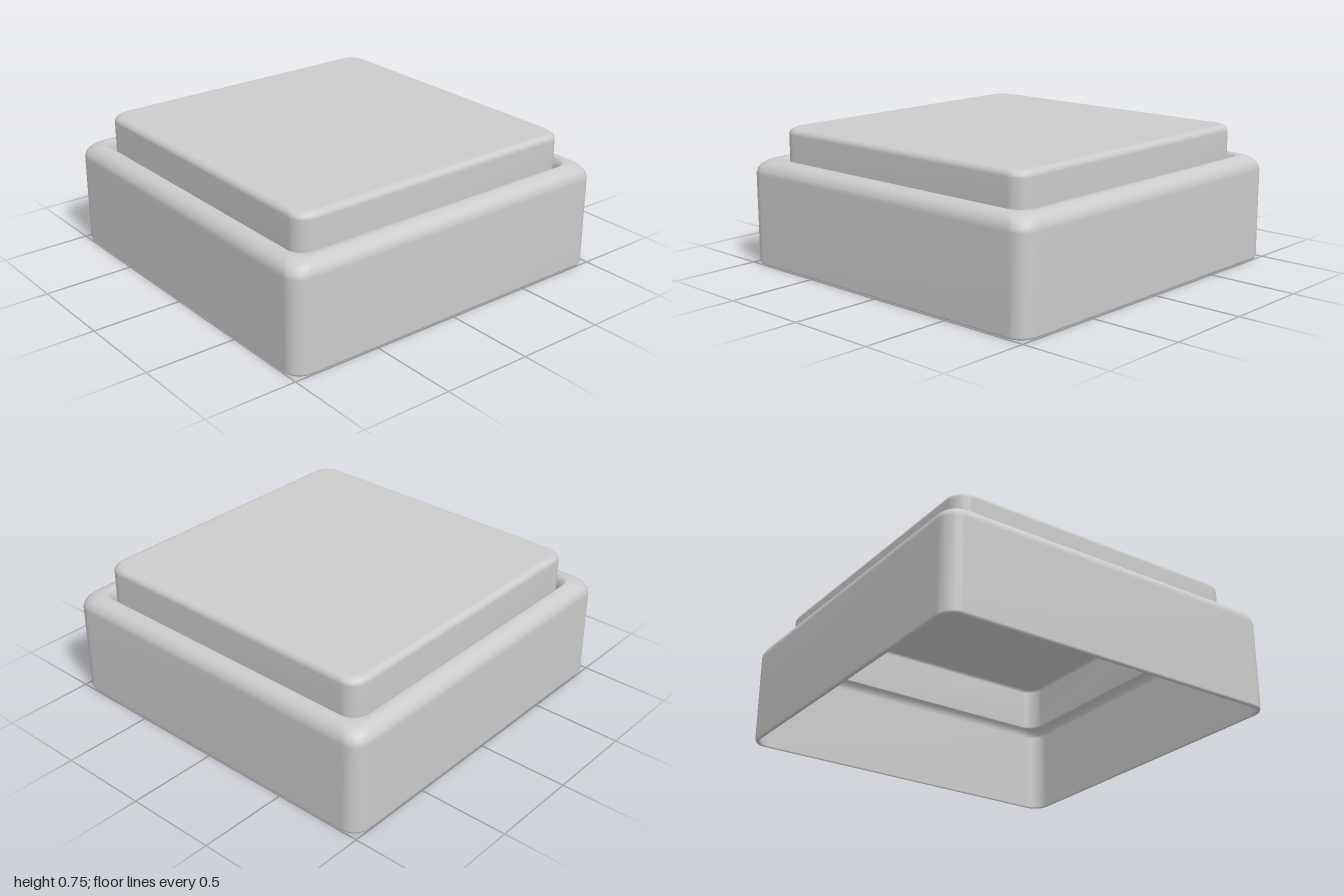
import * as THREE from 'three';

const CORNER = 0.09; // plan radius of every rounded square
const STEPS = 6; // segments per corner

// Sweeps a profile of [half width, height] points around a rounded square.
function sweepSquare(name, profile, closed) {
  const positions = [];
  const index = [];
  const ring = 4 * (STEPS + 1);
  for (const [half, y] of profile) {
    const r = Math.min(CORNER, half);
    for (let corner = 0; corner < 4; corner++) {
      const mid = (corner + 0.5) * Math.PI / 2;
      const cx = Math.sign(Math.cos(mid)) * (half - r);
      const cz = Math.sign(Math.sin(mid)) * (half - r);
      for (let s = 0; s <= STEPS; s++) {
        const a = (corner + s / STEPS) * Math.PI / 2;
        positions.push(cx + r * Math.cos(a), y, cz + r * Math.sin(a));
      }
    }
  }
  const n = profile.length;
  for (let i = 0; i < (closed ? n : n - 1); i++) {
    const next = (i + 1) % n;
    for (let j = 0; j < ring; j++) {
      const k = (j + 1) % ring;
      const a = i * ring + j, b = next * ring + j;
      const c = next * ring + k, d = i * ring + k;
      index.push(a, b, d, b, c, d);
    }
  }
  const geometry = new THREE.BufferGeometry();
  geometry.setAttribute('position', new THREE.Float32BufferAttribute(positions, 3));
  geometry.setIndex(index);
  geometry.computeVertexNormals();
  const mesh = new THREE.Mesh(geometry, new THREE.MeshStandardMaterial({ color: 0xcccccc }));
  mesh.name = name;
  return mesh;
}

// Quarter-round profile points about (cx, cy), turning from outward to upward.
function quarterRound(cx, cy, rx, ry, steps = 5) {
  return Array.from({ length: steps + 1 }, (_, i) => {
    const a = (i / steps) * Math.PI / 2;
    return [cx + rx * Math.cos(a), cy + ry * Math.sin(a)];
  });
}

export function createModel() {
  const group = new THREE.Group();
  group.name = 'squareButton';

  // Hollow frame: outer wall, rounded shoulder, lip dipping to the cap, inner wall
  const housing = [
    [0.985, 0], [0.996, 0.004], [1, 0.015],
    ...quarterRound(0.91, 0.505, 0.09, 0.08),
    [0.9, 0.578], [0.885, 0.555], [0.88, 0.52], [0.88, 0.49],
    [0.87, 0.475], [0.86, 0.49], [0.87, 0.52],
    ...quarterRound(0.9, 0.47, 0.08, 0.07).reverse(),
    [0.98, 0.008],
  ];
  group.add(sweepSquare('housing', housing, true));

  // Cap: hollow underneath, with a softly rounded top edge
  const cap = [
    [0, 0.73], [0.83, 0.73], [0.845, 0.725], [0.85, 0.71],
    [0.85, 0.475], [0.86, 0.47], [0.87, 0.475],
    ...quarterRound(0.835, 0.72, 0.035, 0.035),
    [0.82, 0.755], [0, 0.755],
  ];
  group.add(sweepSquare('cap', cap, false));

  return group;
}
